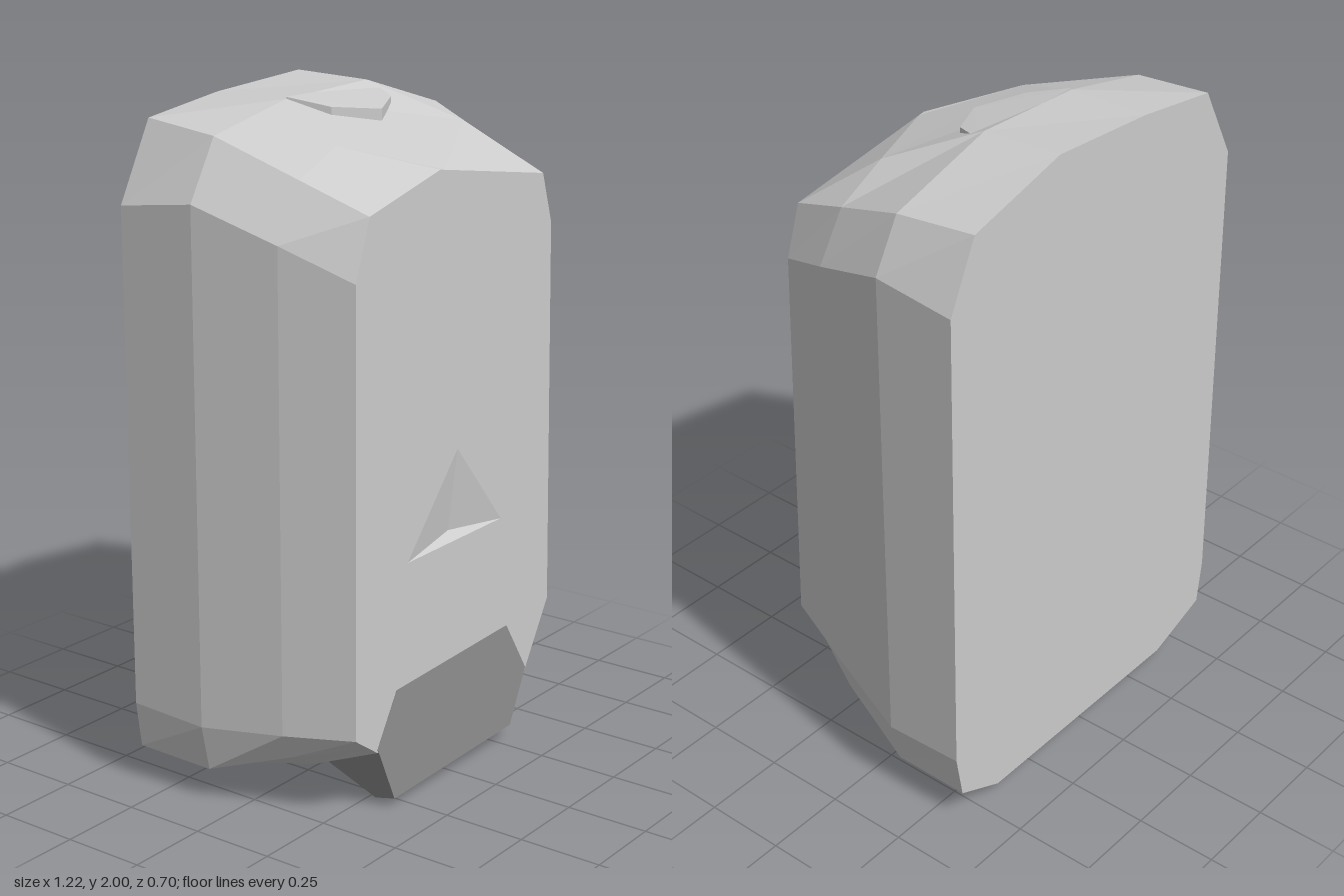
import * as THREE from 'three';
import { ConvexGeometry } from 'three/addons/geometries/ConvexGeometry.js';

const grey = new THREE.MeshStandardMaterial({ color: 0xcccccc, flatShading: true });
const darkGrey = new THREE.MeshStandardMaterial({ color: 0x8f8f8f, flatShading: true });

function facets(triangles) {
  const geometry = new THREE.BufferGeometry();
  geometry.setAttribute('position', new THREE.Float32BufferAttribute(triangles.flat(2), 3));
  geometry.computeVertexNormals();
  return geometry;
}

// Joins cross-sections from back to front; points run clockwise seen from the front.
function loft(sections, capFront) {
  const rings = sections.map(({ z, points }) => points.map(([x, y]) => [x, y, z]));
  const n = rings[0].length;
  const tris = [];
  for (let r = 0; r < rings.length - 1; r++) {
    for (let i = 0; i < n; i++) {
      const j = (i + 1) % n;
      const a = rings[r][i], b = rings[r][j], c = rings[r + 1][j], d = rings[r + 1][i];
      tris.push([a, d, c], [a, c, b]);
    }
  }
  const back = rings[0], front = rings[rings.length - 1];
  for (let i = 1; i < n - 1; i++) {
    tris.push([back[0], back[i], back[i + 1]]);
    if (capFront) tris.push([front[0], front[i + 1], front[i]]);
  }
  return facets(tris);
}

export function createModel() {
  const model = new THREE.Group();
  const add = (name, geometry, material = grey) => {
    const mesh = new THREE.Mesh(geometry, material);
    mesh.name = name;
    model.add(mesh);
  };

  // Faceted housing, tapering towards the front
  const frontOutline = [[-0.48, 1.56], [-0.42, 1.73], [-0.1, 1.81], [-0.08, 1.807], [0.42, 1.73], [0.47, 1.58],
    [0.5, 0.4], [0.44, 0.3], [0.38, 0.2], [-0.38, 0.2], [-0.43, 0.235], [-0.48, 0.27]];
  add('housing', loft([
    { z: -0.35, points: [[-0.61, 1.71], [-0.49, 1.935], [-0.2, 1.975], [0.17, 2], [0.51, 1.91], [0.605, 1.71],
      [0.605, 0.25], [0.58, 0.11], [0.42, 0.035], [-0.38, 0.035], [-0.59, 0.11], [-0.61, 0.25]] },
    { z: -0.1, points: [[-0.61, 1.74], [-0.51, 1.91], [-0.2, 1.975], [0.17, 1.99], [0.52, 1.89], [0.605, 1.74],
      [0.605, 0.24], [0.57, 0.1], [0.4, 0.045], [-0.38, 0.045], [-0.58, 0.1], [-0.61, 0.24]] },
    { z: 0.15, points: [[-0.555, 1.65], [-0.46, 1.81], [-0.3, 1.88], [0.3, 1.88], [0.46, 1.8], [0.55, 1.66],
      [0.55, 0.33], [0.51, 0.2], [0.4, 0.12], [-0.4, 0.12], [-0.51, 0.18], [-0.555, 0.26]] },
    { z: 0.35, points: frontOutline },
  ], false));

  // Front panel with a triangular opening
  const triangle = [[0, 1], [-0.24, 0.725], [0.23, 0.73]];
  const toVectors = (points) => points.map(([x, y]) => new THREE.Vector2(x, y));
  const panel = new THREE.Shape(toVectors(frontOutline));
  panel.holes.push(new THREE.Path(toVectors(triangle)));
  add('frontPanel', new THREE.ShapeGeometry(panel).translate(0, 0, 0.35));

  // Shallow recess behind the opening, deepest just above its lower edge
  const [a, b, c] = triangle.map(([x, y]) => [x, y, 0.35]);
  const deep = [0, 0.75, 0.32];
  add('triangleRecess', facets([[a, b, deep], [a, deep, c], [b, c, deep]]));

  // Hexagonal dispensing spout under the front
  add('spout', loft([
    { z: 0.1, points: [[-0.37, 0.2], [-0.3, 0.3], [0.3, 0.3], [0.37, 0.2], [0.34, 0.12], [-0.34, 0.12]] },
    { z: 0.27, points: [[-0.37, 0.2], [-0.29, 0.34], [0.27, 0.34], [0.37, 0.2], [0.28, 0.01], [-0.28, 0.002]] },
    { z: 0.352, points: [[-0.38, 0.21], [-0.29, 0.36], [0.27, 0.38], [0.38, 0.21], [0.3, 0.045], [-0.3, 0.03]] },
  ], true), darkGrey);

  // Thin five-sided latch plate on the top slope
  const latch = [[-0.2, 1.98, -0.1], [0.2, 1.98, -0.1], [0.14, 1.955, 0.01], [0, 1.94, 0.08], [-0.14, 1.955, 0.01]];
  add('topLatch', new ConvexGeometry(latch.flatMap(([x, y, z]) => [
    new THREE.Vector3(x, y, z), new THREE.Vector3(x, y - 0.06, z)])));

  return model;
}
